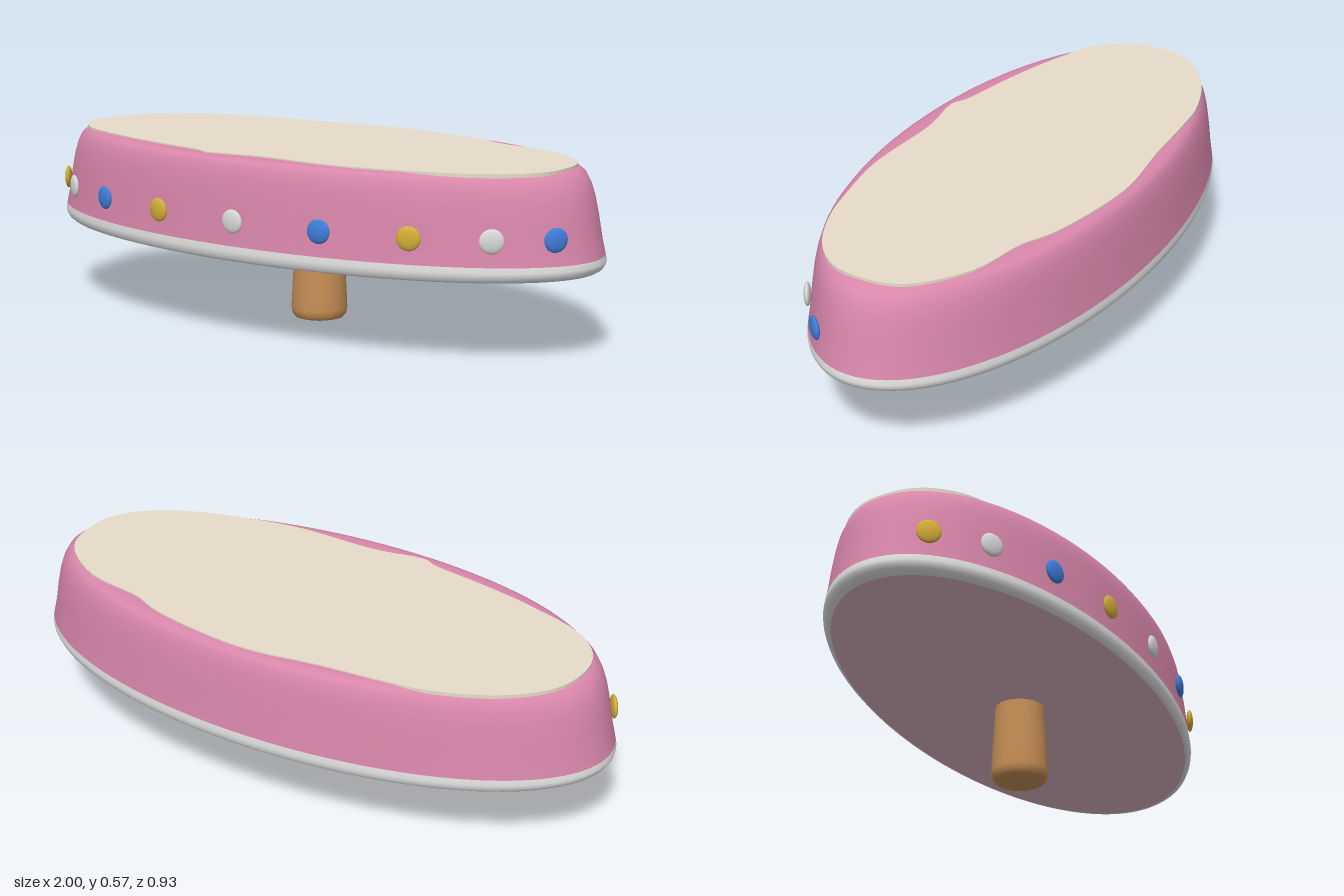
import * as THREE from 'three';

const mat = (name, color) => {
  const m = new THREE.MeshStandardMaterial({ color });
  m.name = name;
  return m;
};

export function createModel() {
  const group = new THREE.Group();
  const pink = mat('pink', 0xd987ab);
  const cream = mat('cream', 0xe7dccb);
  const white = mat('white', 0xe2e2e2);
  const palePink = mat('palePink', 0xdbb4c0);
  const wood = mat('wood', 0xc68e55);
  const gold = mat('gold', 0xd4af37);
  const blue = mat('blue', 0x3f7fdc);
  const silver = mat('silver', 0xdadada);

  const add = (name, geometry, material) => {
    const mesh = new THREE.Mesh(geometry, material);
    mesh.name = name;
    group.add(mesh);
    return mesh;
  };
  const v2 = (p) => new THREE.Vector2(p[0], p[1]);

  // Oval head: turned profiles squashed along z
  const DEPTH = 0.457, CENTRE_Z = -0.006;
  const oval = (name, points, material) => {
    const mesh = add(name, new THREE.LatheGeometry(points.map(v2), 96), material);
    mesh.scale.z = DEPTH;
    mesh.position.z = CENTRE_Z;
  };
  oval('headSide', [[0.996, 0.307], [0.985, 0.35], [0.972, 0.42], [0.958, 0.48], [0.945, 0.517],
    [0.927, 0.547], [0.905, 0.562], [0.875, 0.568], [0.83, 0.569], [0, 0.569]], pink);
  oval('trimBand', [[0.96, 0.257], [0.978, 0.26], [0.99, 0.267], [0.998, 0.279], [1, 0.29],
    [0.996, 0.307]], white);
  oval('underside', [[0, 0.257], [0.962, 0.257]], palePink);

  // Top pad with an uneven hand-cut edge, listed as x, z
  const edge = [[-0.9, 0], [-0.87, -0.13], [-0.75, -0.25], [-0.55, -0.335], [-0.4, -0.355],
    [-0.2, -0.37], [0.03, -0.397], [0.2, -0.383], [0.4, -0.34], [0.5, -0.295], [0.7, -0.25],
    [0.85, -0.14], [0.89, -0.05], [0.88, 0.1], [0.8, 0.2], [0.65, 0.28], [0.5, 0.32],
    [0.3, 0.353], [0, 0.345], [-0.17, 0.367], [-0.22, 0.345], [-0.4, 0.31], [-0.6, 0.26],
    [-0.8, 0.18], [-0.88, 0.09]];
  const outline = new THREE.CatmullRomCurve3(
    edge.map(([x, z]) => new THREE.Vector3(x, -z, 0)), true, 'centripetal');
  const padShape = new THREE.Shape(outline.getPoints(120).slice(0, -1).map((p) => new THREE.Vector2(p.x, p.y)));
  const padGeometry = new THREE.ExtrudeGeometry(padShape, { depth: 0.012, bevelEnabled: false });
  padGeometry.rotateX(-Math.PI / 2);
  add('topPad', padGeometry, cream).position.y = 0.561;

  // Tapered handle with a rounded foot
  const handle = [[0, 0], [0.06, 0], [0.078, 0.005], [0.087, 0.016], [0.09, 0.035],
    [0.087, 0.1], [0.081, 0.2], [0.077, 0.27]];
  add('handle', new THREE.LatheGeometry(handle.map(v2), 40), wood).position.z = CENTRE_Z;

  // Row of flattened studs following the front of the oval
  const studGeometry = new THREE.SphereGeometry(0.037, 24, 16);
  const studs = [[-0.943, gold], [-0.8, silver], [-0.58, blue], [-0.305, gold], [0, silver],
    [0.303, blue], [0.577, gold], [0.797, silver], [0.938, blue]];
  const a = 0.99, b = 0.459;
  studs.forEach(([x, material], i) => {
    const z = b * Math.sqrt(1 - (x / a) ** 2);
    const stud = add('stud' + (i + 1), studGeometry, material);
    stud.position.set(x, 0.385, z + CENTRE_Z);
    stud.rotation.y = Math.atan2(x / (a * a), z / (b * b));
    stud.scale.z = 0.3;
  });
  return group;
}
